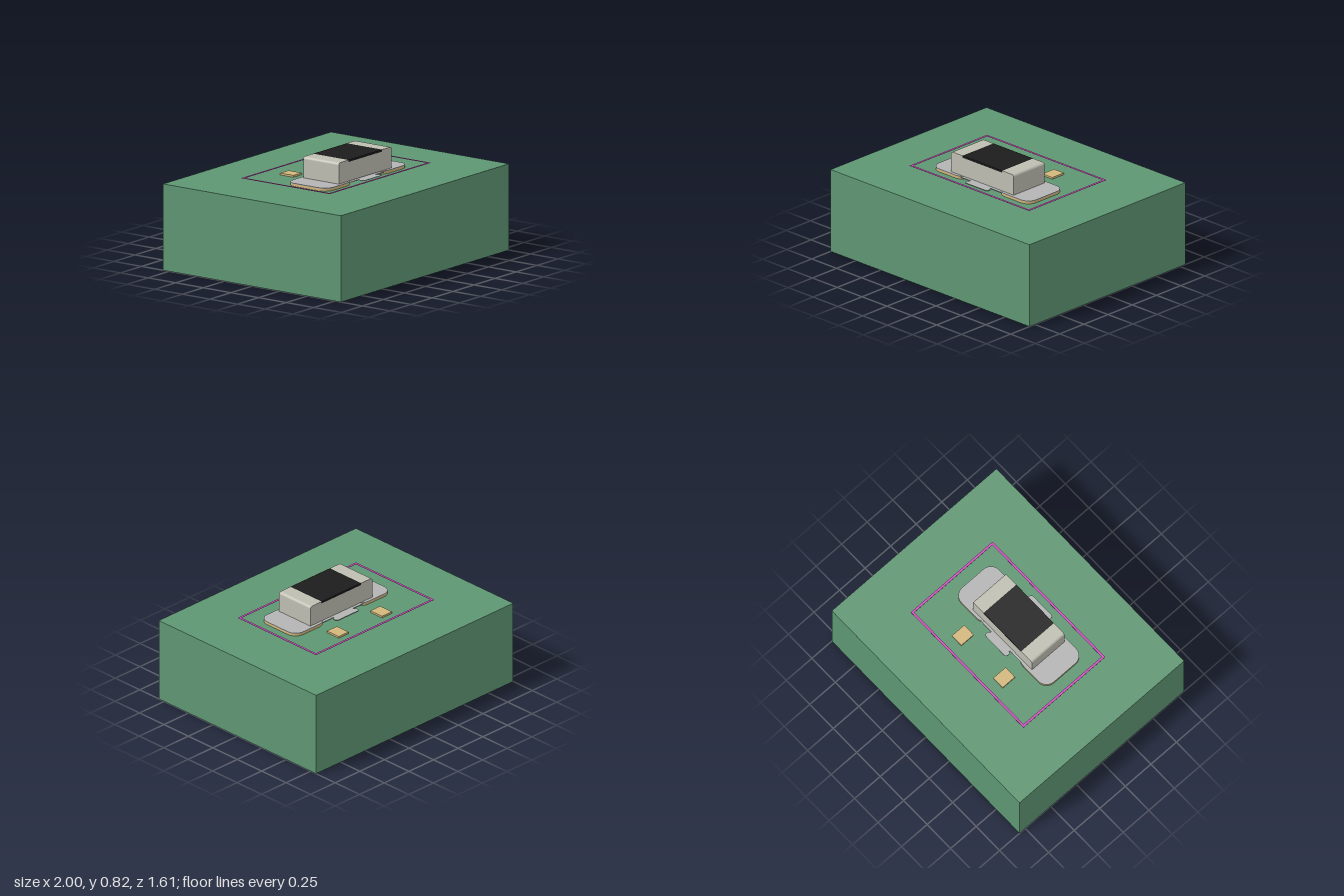
import * as THREE from 'three';

const mat = (color) => new THREE.MeshStandardMaterial({ color });
const green = mat(0x5e9673), gold = mat(0xd2b67c), silver = mat(0xb4b4b4);
const bodyGrey = mat(0xbebeb2), black = mat(0x1c1c1c), magenta = mat(0xd04fc0);

export function createModel() {
  const model = new THREE.Group();
  const zc = 0.105; // centre line of the mounted component

  const add = (name, geometry, material, x = 0, y = 0, z = 0) => {
    const mesh = new THREE.Mesh(geometry, material);
    mesh.name = name;
    mesh.position.set(x, y, z);
    model.add(mesh);
    return mesh;
  };
  const box = (name, w, h, d, material, x, y0, z) =>
    add(name, new THREE.BoxGeometry(w, h, d), material, x, y0 + h / 2, z);

  // Rectangle outline with one corner radius, centred on its origin
  const roundRect = (w, h, r, cx = 0, cy = 0) => {
    const s = new THREE.Shape();
    const a = w / 2 - r, b = h / 2 - r;
    s.absarc(cx + a, cy + b, r, 0, Math.PI / 2);
    s.absarc(cx - a, cy + b, r, Math.PI / 2, Math.PI);
    s.absarc(cx - a, cy - b, r, Math.PI, Math.PI * 1.5);
    s.absarc(cx + a, cy - b, r, Math.PI * 1.5, Math.PI * 2);
    s.closePath();
    return s;
  };
  // Flat horizontal plate of a given thickness
  const plate = (name, shape, thickness, material, x, y0, z) => {
    const g = new THREE.ExtrudeGeometry(shape, { depth: thickness, bevelEnabled: false, curveSegments: 8 });
    g.rotateX(-Math.PI / 2);
    return add(name, g, material, x, y0, z);
  };

  // Circuit board slab
  box('board', 2, 0.64, 1.61, green, 0, 0, 0);

  // Mirrored pads: large copper pads with solder on top, small test pads behind
  for (const [side, s] of [['left', 1], ['right', -1]]) {
    plate(side + 'Pad', roundRect(0.32, 0.37, 0.08), 0.018, gold, s * 0.33, 0.64, zc);
    plate(side + 'Solder', roundRect(0.32, 0.37, 0.08), 0.005, silver, s * 0.33, 0.658, zc);
    box(side + 'SmallPad', 0.1, 0.014, 0.12, gold, s * 0.22, 0.64, -0.24);
  }

  // Thin bridge under the component, with a rounded tab front and back
  box('bridge', 0.44, 0.004, 0.355, silver, 0, 0.655, zc);
  for (const [name, s] of [['frontTab', 1], ['backTab', -1]]) {
    plate(name, roundRect(0.23, 0.045, 0.02), 0.004, silver, 0, 0.655, zc + s * 0.2075);
    box(name + 'Neck', 0.2, 0.004, 0.03, silver, 0, 0.655, zc + s * 0.18);
  }

  // Component body: rounded upper ends and a shallow recess for the dark coating
  const w = 0.315, bottom = 0.663, top = 0.82, r = 0.02, recess = 0.2, floor = 0.805;
  const profile = new THREE.Shape();
  profile.moveTo(-w, bottom);
  profile.lineTo(w, bottom);
  profile.lineTo(w, top - r);
  profile.absarc(w - r, top - r, r, 0, Math.PI / 2);
  profile.lineTo(recess, top);
  profile.lineTo(recess, floor);
  profile.lineTo(-recess, floor);
  profile.lineTo(-recess, top);
  profile.absarc(-w + r, top - r, r, Math.PI / 2, Math.PI);
  profile.closePath();
  const depth = 0.32;
  add('componentBody', new THREE.ExtrudeGeometry(profile, { depth, bevelEnabled: false, curveSegments: 6 }),
    bodyGrey, 0, 0, zc - depth / 2);
  box('componentCoating', recess * 2, top - floor, depth, black, 0, floor, zc);

  // Thin rectangular outline around the component
  const frame = new THREE.Shape([[-0.6, -0.4], [0.6, -0.4], [0.6, 0.4], [-0.6, 0.4]]
    .map(([x, y]) => new THREE.Vector2(x, y)));
  frame.holes.push(new THREE.Path([[-0.582, -0.382], [-0.582, 0.382], [0.582, 0.382], [0.582, -0.382]]
    .map(([x, y]) => new THREE.Vector2(x, y))));
  plate('outlineFrame', frame, 0.002, magenta, 0, 0.664, 0);

  return model;
}
